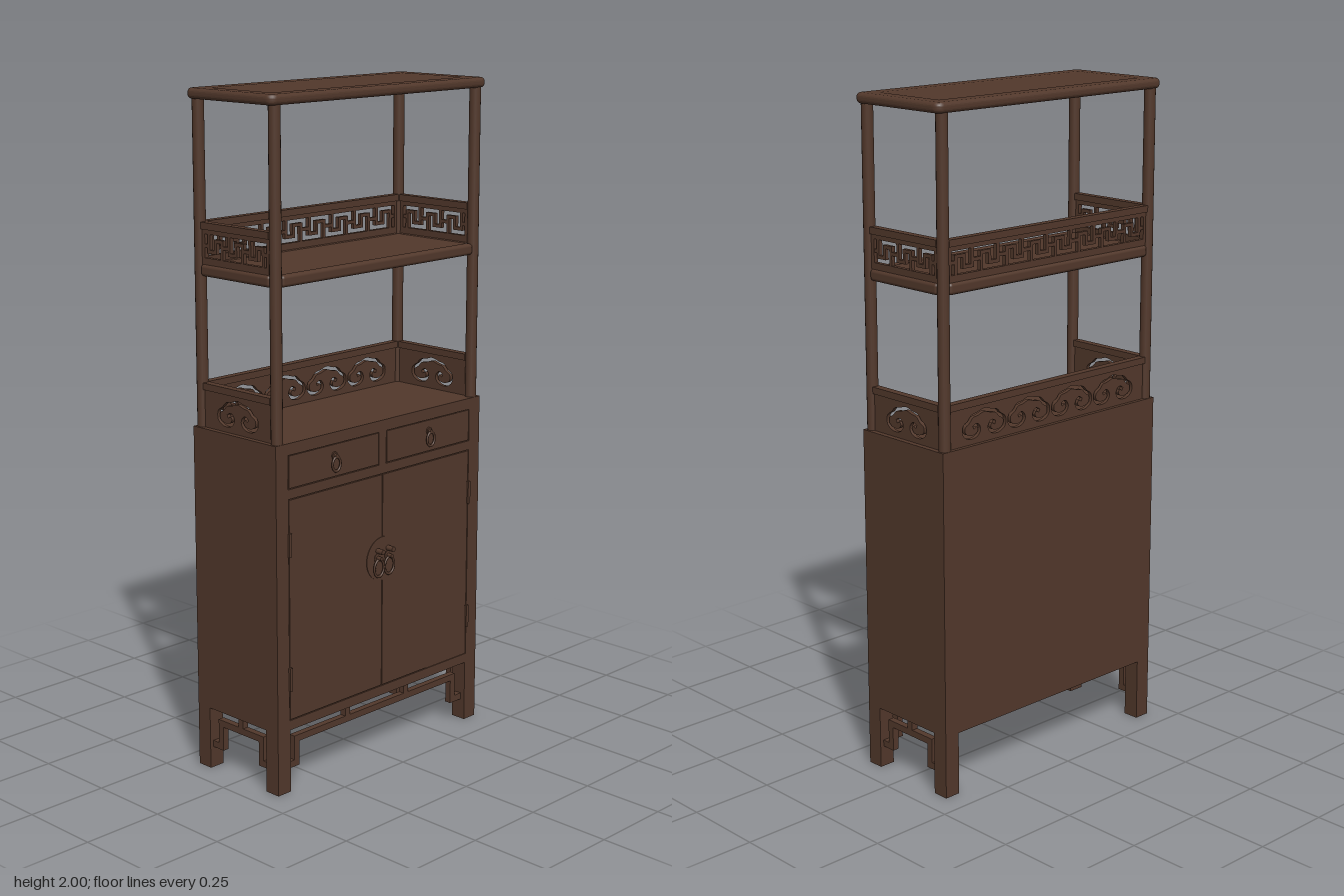
import * as THREE from 'three';
import { RoundedBoxGeometry } from 'three/addons/geometries/RoundedBoxGeometry.js';

const wood = new THREE.MeshStandardMaterial({ color: 0x52382b });
wood.name = 'darkWood';

function add(parent, name, geo, x = 0, y = 0, z = 0) {
  const m = new THREE.Mesh(geo, wood);
  m.name = name;
  m.position.set(x, y, z);
  parent.add(m);
  return m;
}

// box given by its limits
function box(parent, name, x0, x1, y0, y1, z0, z1) {
  return add(parent, name, new THREE.BoxGeometry(x1 - x0, y1 - y0, z1 - z0),
    (x0 + x1) / 2, (y0 + y1) / 2, (z0 + z1) / 2);
}

function rect(x0, x1, y0, y1, Type = THREE.Shape) {
  const s = new Type();
  s.moveTo(x0, y0); s.lineTo(x1, y0); s.lineTo(x1, y1); s.lineTo(x0, y1);
  s.closePath();
  return s;
}

function roundedRect(w, h, r) {
  const s = new THREE.Shape();
  s.absarc(w - r, h - r, r, 0, Math.PI / 2);
  s.absarc(-w + r, h - r, r, Math.PI / 2, Math.PI);
  s.absarc(-w + r, -h + r, r, Math.PI, Math.PI * 1.5);
  s.absarc(w - r, -h + r, r, Math.PI * 1.5, Math.PI * 2);
  return s;
}

// cloud-scroll slot: a mirrored curve widened into a closed outline
function cloudHole(cx, cy) {
  const half = [[0.026, 0.03], [0.046, 0.026], [0.06, 0.012], [0.077, 0], [0.076, -0.022], [0.055, -0.034],
    [0.03, -0.031], [0.019, -0.016], [0.028, -0.002], [0.042, -0.008]];
  const pts = [...half.map(([x, y]) => [-x, y]).reverse(), [0, 0.037], ...half]
    .map(([x, y]) => new THREE.Vector2(x + cx, y + cy));
  const curve = new THREE.SplineCurve(pts);
  const a = [], b = [];
  for (let i = 0; i <= 90; i++) {
    const p = curve.getPoint(i / 90), t = curve.getTangent(i / 90);
    const n = new THREE.Vector2(-t.y, t.x).multiplyScalar(0.005);
    a.push(p.clone().add(n));
    b.push(p.clone().sub(n));
  }
  return new THREE.Path([...a, ...b.reverse()]);
}

function panel(parent, name, shape, depth) {
  const geo = new THREE.ExtrudeGeometry(shape, { depth, bevelEnabled: false });
  geo.translate(0, 0, -depth / 2);
  return add(parent, name, geo);
}

// pierced gallery with cloud slots
function cloudGallery(w, count) {
  const g = new THREE.Group();
  g.name = 'cloudGallery';
  const s = rect(-w, w, 1.04, 1.155);
  for (let i = 0; i < count; i++) s.holes.push(cloudHole((i - (count - 1) / 2) * 0.175, 1.095));
  panel(g, 'cloudPanel', s, 0.012);
  box(g, 'galleryRail', -w, w, 1.15, 1.17, -0.012, 0.012);
  return g;
}

// framed key-pattern gallery made from hooked bars
function fretGallery(w, units) {
  const g = new THREE.Group();
  g.name = 'fretGallery';
  const o = w - 0.012, y0 = 1.53, y1 = 1.597, t = 0.005;
  const s = rect(-w, w, 1.5, 1.612);
  s.holes.push(rect(-o, o, y0, y1, THREE.Path));
  panel(g, 'fretFrame', s, 0.014);
  box(g, 'galleryRail', -w, w, 1.61, 1.63, -0.012, 0.012);
  const p = 2 * o / units;
  for (let i = 0; i < units; i++) {
    const x = -o + p * i;
    const bar = (a, b, c, d) => box(g, 'fretBar', x + a * p - t, x + b * p + t, c - t, d + t, -0.006, 0.006);
    bar(0.18, 0.18, 1.548, y1);
    bar(0.18, 0.5, 1.548, 1.548);
    bar(0.5, 0.5, 1.548, 1.58);
    bar(0.5, 0.82, 1.58, 1.58);
    bar(0.82, 0.82, y0, 1.58);
    bar(0, 0.18, 1.564, 1.564);
    bar(0.82, 1, 1.564, 1.564);
  }
  return g;
}

// stepped apron below the cabinet; w is the distance to the leg
function apron(w, step, struts) {
  const g = new THREE.Group();
  g.name = 'apron';
  const z = 0.01, e = w - step;
  box(g, 'apronRail', -e, e, 0.138, 0.158, -z, z);
  for (const s of [-1, 1]) {
    box(g, 'apronDrop', s * e - 0.01, s * e + 0.01, 0.064, 0.158, -z, z);
    box(g, 'apronFoot', Math.min(s * e, s * w), Math.max(s * e, s * w), 0.064, 0.084, -z, z);
  }
  for (const x of struts) box(g, 'apronStrut', x - 0.01, x + 0.01, 0.155, 0.192, -z, z);
  return g;
}

// hanging pull: stud, back plate and oval drop
function pull(parent, x, y, r, reach) {
  const g = new THREE.Group();
  g.name = 'pull';
  g.position.set(x, y, 0.17);
  const stud = add(g, 'pullStud', new THREE.CylinderGeometry(0.006, 0.006, reach, 12), 0, r * 1.5, reach / 2);
  stud.rotation.x = Math.PI / 2;
  const plate = add(g, 'pullPlate', new THREE.CylinderGeometry(r * 0.7, r * 0.7, 0.004, 20), 0, r * 1.5, 0.002);
  plate.rotation.x = Math.PI / 2;
  add(g, 'pullDrop', new THREE.TorusGeometry(r, 0.0035, 8, 24), 0, 0, 0.009).scale.y = 1.3;
  parent.add(g);
}

export function createModel() {
  const root = new THREE.Group();
  root.name = 'displayCabinet';
  const model = new THREE.Group();
  model.name = 'cabinet';
  model.position.z = -0.01;
  root.add(model);

  // lower cabinet
  box(model, 'cabinetBody', -0.43, 0.43, 0.19, 1.04, -0.17, 0.167);
  for (const s of [-1, 1]) {
    const span = (a, b) => s > 0 ? [a, b] : [-b, -a];
    box(model, 'frontStile', ...span(0.383, 0.43), 0.19, 1.04, 0.167, 0.17);
    box(model, 'door', ...span(0.0015, 0.38), 0.222, 0.876, 0.167, 0.17);
    box(model, 'drawerFront', ...span(0.018, 0.38), 0.91, 1.004, 0.167, 0.17);
    for (const z of [-0.145, 0.145]) {
      box(model, 'leg', s * 0.405 - 0.025, s * 0.405 + 0.025, 0, 0.19, z - 0.025, z + 0.025);
      // round posts of the open shelves
      add(model, 'post', new THREE.CylinderGeometry(0.017, 0.017, 0.94, 16), s * 0.408, 1.51, z * 1.05);
    }
    for (const y of [0.345, 0.745]) {
      box(model, 'hinge', s * 0.381 - 0.005, s * 0.381 + 0.005, y - 0.035, y + 0.035, 0.168, 0.177);
      const leaf = add(model, 'hingeLeaf', new THREE.CircleGeometry(0.035, 16, s > 0 ? Math.PI / 2 : -Math.PI / 2, Math.PI),
        s * 0.381, y, 0.1715);
      leaf.scale.x = 0.7;
    }
    pull(model, s * 0.2, 0.948, 0.016, 0.012);
    pull(model, s * 0.022, 0.596, 0.02, 0.02);
    const knob = add(model, 'knob', new THREE.CylinderGeometry(0.008, 0.008, 0.027, 12), s * 0.022, 0.648, 0.183);
    knob.rotation.x = Math.PI / 2;
  }
  box(model, 'topRail', -0.383, 0.383, 1.006, 1.04, 0.167, 0.17);
  box(model, 'middleRail', -0.383, 0.383, 0.879, 0.907, 0.167, 0.17);
  box(model, 'drawerDivider', -0.015, 0.015, 0.907, 1.006, 0.167, 0.17);
  box(model, 'bottomRail', -0.383, 0.383, 0.19, 0.219, 0.167, 0.17);
  const lockPlate = add(model, 'lockPlate', new THREE.CylinderGeometry(0.067, 0.067, 0.003, 40), 0, 0.62, 0.1705);
  lockPlate.rotation.x = Math.PI / 2;

  // aprons at the front and both ends
  const front = apron(0.382, 0.042, [-0.13, 0.125]);
  front.position.z = 0.145;
  model.add(front);

  // middle shelf
  box(model, 'shelfBoard', -0.405, 0.405, 1.488, 1.508, -0.15, 0.15);
  for (const z of [-0.152, 0.152])
    add(model, 'shelfRail', new RoundedBoxGeometry(0.79, 0.034, 0.028, 3, 0.01), 0, 1.494, z);

  // galleries along the back and both ends
  const backGalleries = [cloudGallery(0.395, 4), fretGallery(0.395, 8)];
  for (const g of backGalleries) {
    g.position.z = -0.152;
    model.add(g);
  }
  for (const s of [-1, 1]) {
    for (const g of [cloudGallery(0.137, 1), fretGallery(0.137, 3), apron(0.122, 0.036, [0])]) {
      g.position.x = s * 0.408;
      g.rotation.y = s * Math.PI / 2;
      model.add(g);
    }
    add(model, 'endRail', new RoundedBoxGeometry(0.028, 0.034, 0.28, 3, 0.01), s * 0.408, 1.494, 0);
  }

  // top with rounded edge and inset panel
  const rim = roundedRect(0.427, 0.162, 0.012);
  rim.holes.push(rect(-0.39, 0.39, -0.1225, 0.1225, THREE.Path));
  const top = new THREE.ExtrudeGeometry(rim, { depth: 0.006, bevelThickness: 0.012, bevelSize: 0.012, bevelSegments: 5, curveSegments: 6 });
  top.rotateX(-Math.PI / 2);
  add(model, 'topFrame', top, 0, 1.982, 0);
  box(model, 'topPanel', -0.391, 0.391, 1.972, 1.9985, -0.1235, 0.1235);
  return root;
}
